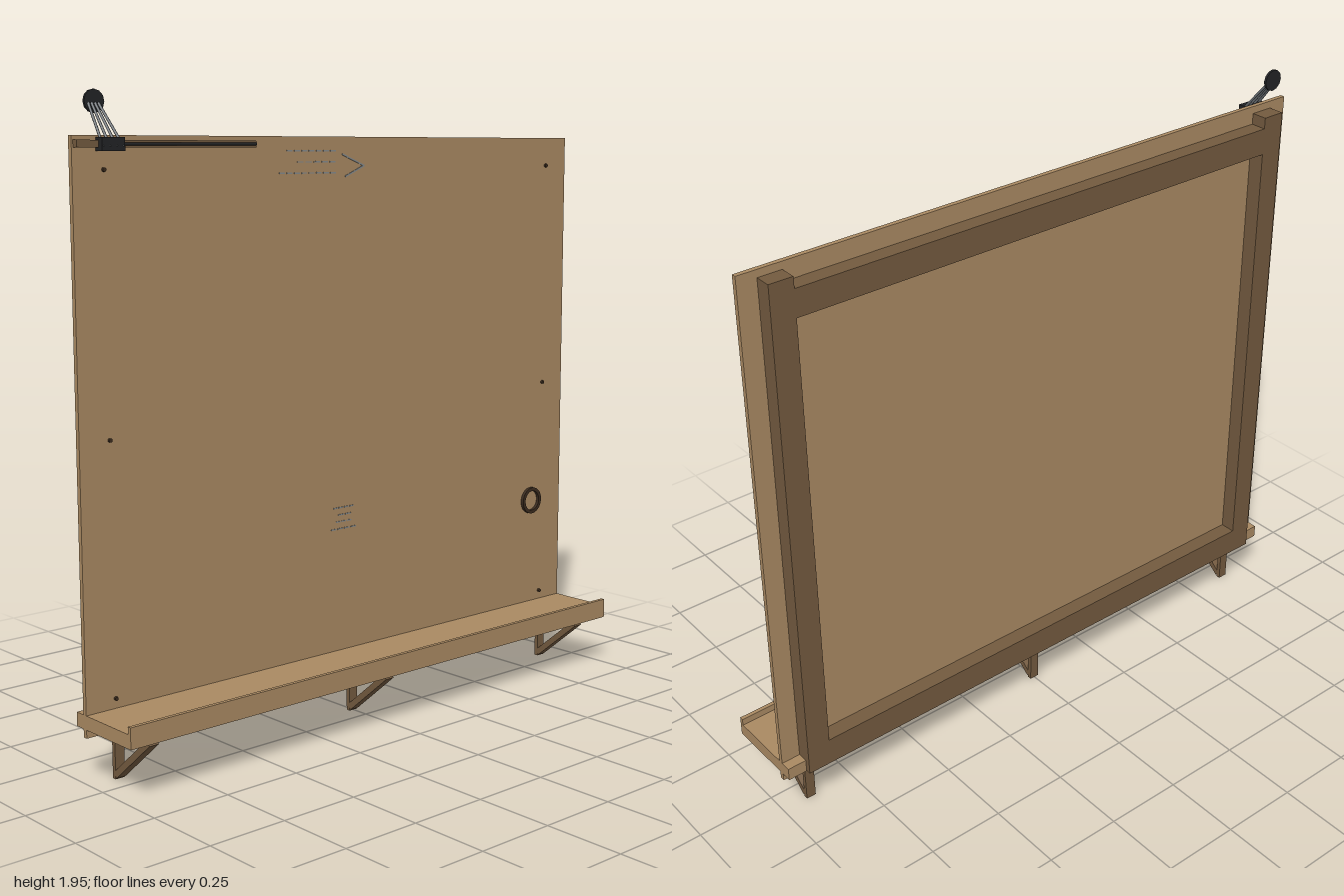
import * as THREE from 'three';

const paint = (name, color) => {
  const m = new THREE.MeshStandardMaterial({ color });
  m.name = name;
  return m;
};

export function createModel() {
  const model = new THREE.Group();
  model.name = 'noticeBoard';
  const wood = paint('light wood', 0xa98962);
  const darkWood = paint('dark wood', 0x735a3f);
  const ringBrown = paint('deep brown', 0x3a2b1e);
  const black = paint('black metal', 0x222325);
  const steel = paint('grey steel', 0x666b70);
  const chalk = paint('grey chalk', 0x858a8c);

  const add = (name, geometry, material, parent = model) => {
    const mesh = new THREE.Mesh(geometry, material);
    mesh.name = name;
    parent.add(mesh);
    return mesh;
  };
  // Box given by its limits on each axis
  const box = (name, material, [x0, x1], [y0, y1], [z0, z1], parent) => {
    const mesh = add(name, new THREE.BoxGeometry(x1 - x0, y1 - y0, z1 - z0), material, parent);
    mesh.position.set((x0 + x1) / 2, (y0 + y1) / 2, (z0 + z1) / 2);
    return mesh;
  };
  // Square or round bar between two points
  const bar = (name, material, a, b, width, depth, parent, round = false) => {
    const from = new THREE.Vector3(...a), to = new THREE.Vector3(...b);
    const length = from.distanceTo(to);
    const geometry = round
      ? new THREE.CylinderGeometry(width / 2, width / 2, length, 8)
      : new THREE.BoxGeometry(width, length, depth);
    const mesh = add(name, geometry, material, parent);
    mesh.position.copy(from).add(to).multiplyScalar(0.5);
    mesh.quaternion.setFromUnitVectors(new THREE.Vector3(0, 1, 0), to.sub(from).normalize());
    return mesh;
  };

  // Panel and the frame behind it
  const face = -0.075;
  box('panel', wood, [-1, 1], [0.143, 1.833], [-0.09, face]);
  const frame = new THREE.Group();
  frame.name = 'backFrame';
  model.add(frame);
  const frameZ = [-0.142, -0.09];
  for (const s of [-1, 1]) {
    const x = s * 0.9;
    box('framePost', darkWood, [x - 0.038, x + 0.038], [0.17, 1.81], frameZ, frame);
  }
  box('topRail', darkWood, [-0.862, 0.862], [1.69, 1.775], frameZ, frame);
  box('bottomRail', darkWood, [-0.862, 0.862], [0.17, 0.26], frameZ, frame);

  // Tray with raised front lip
  box('tray', wood, [-1, 1], [0.168, 0.21], [-0.124, 0.132]);
  box('trayLip', wood, [-1, 1], [0.168, 0.232], [0.132, 0.145]);

  // Brackets under the tray and fixing screws
  for (const x of [-0.9, 0, 0.9]) {
    const bracket = new THREE.Group();
    bracket.name = 'bracket';
    model.add(bracket);
    box('bracketLeg', darkWood, [x - 0.016, x + 0.016], [0.005, 0.168], [-0.074, -0.06], bracket);
    bar('bracketBrace', darkWood, [x, 0.017, -0.062], [x, 0.157, 0.106], 0.032, 0.02, bracket);
    if (x === 0) continue;
    for (const y of [0.24, 0.99, 1.74]) {
      const screw = add('screw', new THREE.CylinderGeometry(0.006, 0.006, 0.008, 10), ringBrown);
      screw.rotation.x = Math.PI / 2;
      screw.position.set(x, y, face + 0.003);
    }
  }

  // Ring on the panel
  const disc = new THREE.Shape().absarc(0, 0, 0.046, 0, Math.PI * 2);
  disc.holes.push(new THREE.Path().absarc(0, 0, 0.034, 0, Math.PI * 2, true));
  const ring = add('ring', new THREE.ExtrudeGeometry(disc,
    { depth: 0.011, bevelEnabled: false, curveSegments: 24 }), ringBrown);
  ring.position.set(0.848, 0.575, face);

  // Wooden stick along the top edge with a thin dark rod in front
  box('stick', darkWood, [-0.995, -0.38], [1.8, 1.82], [face, -0.057]);
  bar('rod', black, [-0.87, 1.809, -0.05], [-0.38, 1.81, -0.057], 0.009, 0, model, true);

  // Clip: jaws, four converging wires and a round grip
  const clip = new THREE.Group();
  clip.name = 'clip';
  model.add(clip);
  box('clipJaw', black, [-0.925, -0.85], [1.79, 1.828], [-0.072, -0.04], clip);
  for (const k of [-1.5, -0.5, 0.5, 1.5]) {
    bar('clipWire', steel, [-0.887 + k * 0.022, 1.802, -0.042],
      [-0.887 + k * 0.011, 1.922, -0.137], 0.008, 0, clip, true);
  }
  const grip = add('clipGrip', new THREE.CylinderGeometry(0.033, 0.033, 0.008, 12), black, clip);
  grip.rotation.x = Math.PI / 2;
  grip.position.set(-0.885, 1.926, -0.138);

  // Dashed chalk strokes and an arrowhead: start x, end x, y, dash count
  const strokes = [
    [-0.25, -0.05, 1.79, 7], [-0.21, -0.05, 1.757, 5], [-0.28, -0.05, 1.724, 8],
    [-0.07, 0.02, 0.675, 4], [-0.05, 0.01, 0.652, 2], [-0.06, 0.01, 0.63, 3], [-0.08, 0.03, 0.607, 4],
  ];
  for (const [x0, x1, y, n] of strokes) {
    const step = (x1 - x0) / n;
    for (let i = 0; i < n; i++) {
      const x = x0 + i * step;
      box('chalkDash', chalk, [x, x + step * 0.75], [y - 0.002, y + 0.002], [face, face + 0.002]);
    }
  }
  for (const a of [[-0.03, 1.78], [-0.018, 1.712]]) {
    bar('chalkArrow', chalk, [...a, face + 0.001], [0.06, 1.745, face + 0.001], 0.005, 0.002);
  }
  return model;
}
